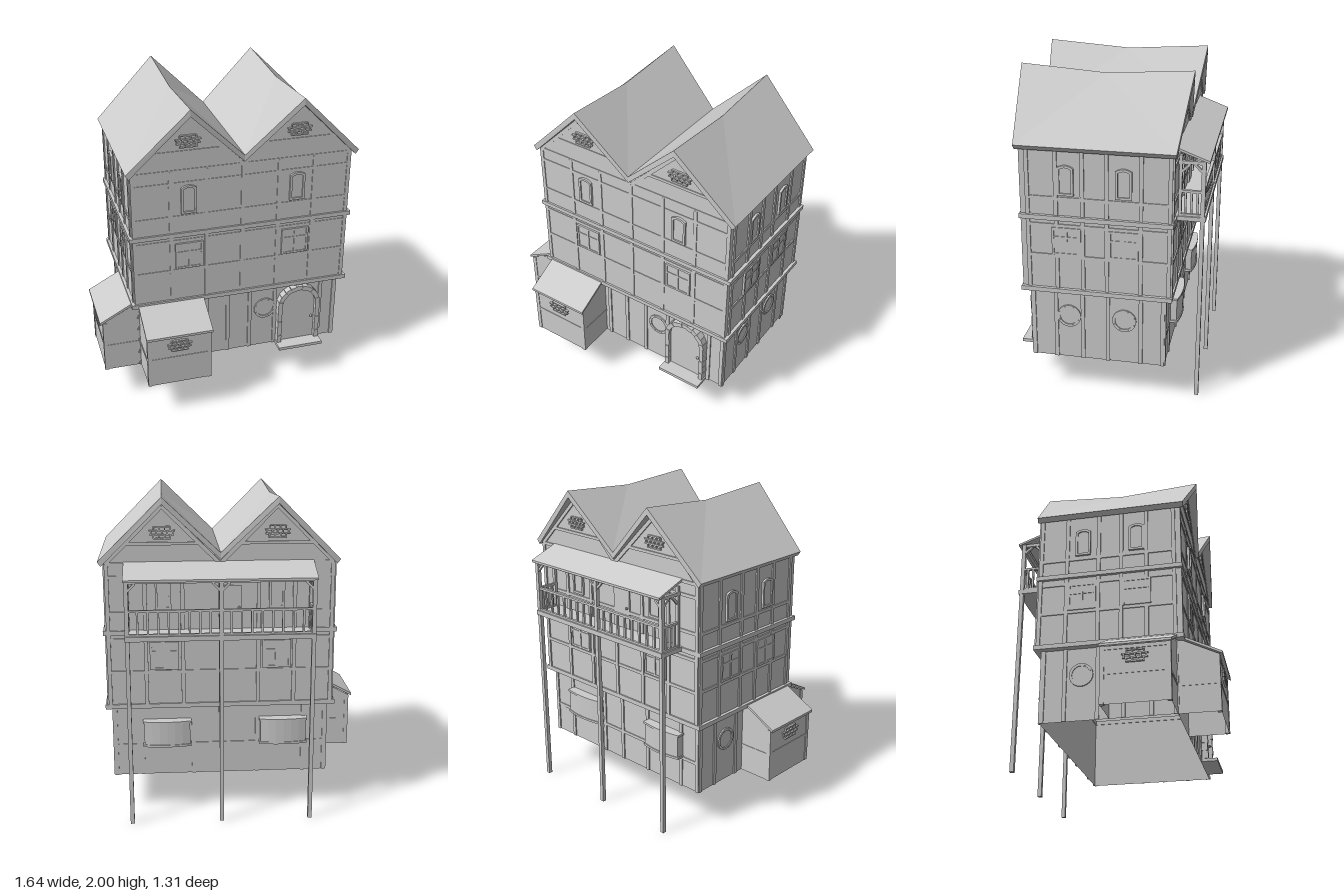
import * as THREE from 'three';

const mat = new THREE.MeshStandardMaterial({ color: 0xcccccc, flatShading: true });
const thin = new THREE.MeshStandardMaterial({ color: 0xcccccc, flatShading: true, side: THREE.DoubleSide });

function add(parent, name, geo, x = 0, y = 0, z = 0, material = mat) {
  const m = new THREE.Mesh(geo, material);
  m.name = name;
  m.position.set(x, y, z);
  parent.add(m);
  return m;
}
const box = (p, name, w, h, d, x, y, z) => add(p, name, new THREE.BoxGeometry(w, h, d), x, y, z);
const poly = pts => new THREE.Shape(pts.map(([x, y]) => new THREE.Vector2(x, y)));
const extrude = (s, depth, curveSegments = 6) => new THREE.ExtrudeGeometry(s, { depth, bevelEnabled: false, curveSegments });

function group(parent, name) {
  const g = new THREE.Group();
  g.name = name;
  parent.add(g);
  return g;
}

// Wall frame: local x runs along the wall, local z points outwards
function face(parent, name, angle, offset) {
  const g = group(parent, name);
  g.rotation.y = angle;
  g.position.set(Math.sin(angle) * offset, 0, Math.cos(angle) * offset);
  return g;
}

// Four walls without floor or ceiling
function walls(p, name, x0, x1, y0, y1, z0, z1) {
  const geo = new THREE.CylinderGeometry(Math.SQRT1_2, Math.SQRT1_2, 1, 4, 1, true).rotateY(Math.PI / 4);
  geo.scale(x1 - x0, y1 - y0, z1 - z0);
  add(p, name, geo, (x0 + x1) / 2, (y0 + y1) / 2, (z0 + z1) / 2, thin);
}

// Beam frame running round the house
function beamRing(p, name, x0, x1, z0, z1, y, h, t) {
  const cx = (x0 + x1) / 2, cz = (z0 + z1) / 2;
  for (const z of [z0 + t / 2, z1 - t / 2]) box(p, name, x1 - x0, h, t, cx, y, z);
  for (const x of [x0 + t / 2, x1 - t / 2]) box(p, name, t, h, z1 - z0 - 2 * t, x, y, cz);
}

// Timber grid on one wall
function timbers(f, us, y0, y1, rails = [], d = 0.008) {
  for (const u of us) box(f, 'timberPost', 0.024, y1 - y0, d, u, (y0 + y1) / 2, d / 2);
  const a = Math.min(...us), b = Math.max(...us);
  for (const y of rails) box(f, 'timberRail', b - a, 0.02, d * 0.8, (a + b) / 2, y, d * 0.4);
}

function archShape(w, h, rise) {
  const s = new THREE.Shape();
  s.moveTo(-w / 2, 0).lineTo(w / 2, 0).lineTo(w / 2, h - rise);
  s.quadraticCurveTo(0, h + rise, -w / 2, h - rise);
  return s;
}

function archedWindow(f, u, y = 1.322) {
  const s = archShape(0.096, 0.184, 0.016);
  s.holes.push(new THREE.Path(archShape(0.068, 0.156, 0.012).getPoints(6).map(p => p.add(new THREE.Vector2(0, 0.014)))));
  add(f, 'archedWindowFrame', extrude(s, 0.014), u, y, 0);
  add(f, 'archedWindowPane', new THREE.ShapeGeometry(archShape(0.076, 0.17, 0.014)), u, y + 0.007, 0.006);
}

function crossWindow(f, u, y = 1.033) {
  box(f, 'windowPane', 0.17, 0.17, 0.008, u, y, 0.004);
  for (const k of [-0.081, 0, 0.081]) box(f, 'windowUpright', 0.013, 0.175, 0.013, u + k, y, 0.0065);
  for (const k of [-0.081, 0.025, 0.081]) box(f, 'windowBar', 0.175, 0.013, 0.012, u, y + k, 0.006);
}

// Porthole with flat ring and rivets
function roundWindow(f, u, y = 0.528) {
  const ring = new THREE.Shape().absarc(0, 0, 0.073, 0, Math.PI * 2);
  ring.holes.push(new THREE.Path().absarc(0, 0, 0.056, 0, Math.PI * 2));
  add(f, 'roundWindowRing', extrude(ring, 0.009, 12), u, y);
  add(f, 'roundWindowPane', new THREE.CircleGeometry(0.06, 24), u, y, 0.003);
  for (let i = 0; i < 8; i++) {
    const a = (i + 0.5) * Math.PI / 4;
    box(f, 'rivet', 0.006, 0.006, 0.004, u + Math.cos(a) * 0.064, y + Math.sin(a) * 0.064, 0.01);
  }
}

// Small lattice window: staggered short uprights between bars of uneven length
function lattice(f, u, y, z = 0) {
  [[0.09, 0.036], [0.155, 0.012], [0.145, -0.012], [0.105, -0.034]].forEach(([w, dy], i) => {
    box(f, 'latticeBar', w, 0.008, 0.012, u, y + dy, z + 0.006);
    const n = 4 + (i % 2), span = i === 1 ? 0.13 : 0.1;
    if (i < 3) for (let k = 0; k < n; k++)
      box(f, 'latticeUpright', 0.008, 0.024, 0.01, u + (k / (n - 1) - 0.5) * span, y + dy - 0.012, z + 0.005);
  });
}

// Sloping slab: near and far ends given as [distance from wall, top height]
function slab(p, name, w, u, [d0, y0], [d1, y1], t = 0.016) {
  const geo = extrude(poly([[d0, y0], [d1, y1], [d1, y1 - t], [d0, y0 - t]]), w);
  add(p, name, geo.translate(0, 0, -w / 2).rotateY(-Math.PI / 2), u);
}

// Lean-to with three walls, corner posts, sloping roof and lattice window
function leanTo(f, u, w, d) {
  const g = group(f, 'leanTo');
  add(g, 'leanToFront', new THREE.PlaneGeometry(w, 0.352), u, 0.419, d, thin);
  for (const s of [1, -1]) {
    const side = poly([[0, 0.243], [-s * d, 0.243], [-s * d, 0.595], [0, 0.715]]);
    add(g, 'leanToSide', new THREE.ShapeGeometry(side).rotateY(s * Math.PI / 2), u + s * w / 2, 0, 0, thin);
    box(g, 'leanToPost', 0.026, 0.352, 0.026, u + s * (w / 2 - 0.009), 0.419, d - 0.009);
    box(g, 'leanToRail', 0.006, 0.018, d, u + s * w / 2, 0.42, d / 2);
  }
  box(g, 'leanToLintel', w, 0.02, 0.008, u, 0.58, d);
  box(g, 'leanToSill', w, 0.018, 0.006, u, 0.43, d);
  lattice(g, u, 0.522, d);
  slab(g, 'leanToRoof', w + 0.02, u, [0.018, 0.73], [d + 0.022, 0.606]);
}

// Double gable roof lofted through three sections, with a sagging ridge
function roofGeometry() {
  const top = [[-0.63, 1.618], [-0.25, 2], [0.09, 1.665], [0.435, 2], [0.818, 1.618]];
  const low = [[-0.61, 1.59], [-0.25, 1.957], [0.09, 1.625], [0.435, 1.957], [0.798, 1.59]];
  const ring = [...top, ...low.reverse()], n = ring.length, pos = [], idx = [];
  const isPeak = i => ring[i][1] > 1.9;
  for (const s of [1, 0, -1]) ring.forEach(([x, y], i) => {
    pos.push(x, y - (s === 0 && isPeak(i) ? 0.035 : 0), -0.0175 + s * (isPeak(i) ? 0.5125 : 0.4675));
  });
  for (let r = 0; r < 2; r++) for (let i = 0; i < n; i++) {
    const a = r * n + i, b = r * n + (i + 1) % n;
    // Folds run from the middle of the ridge to the corners
    if (isPeak(i) === (r === 0)) idx.push(a, b, a + n, b, b + n, a + n);
    else idx.push(a, b, b + n, a, b + n, a + n);
  }
  for (let i = 0; i < 4; i++) {
    const a = i, b = i + 1, c = n - 2 - i, d = n - 1 - i, e = 2 * n;
    idx.push(a, d, c, a, c, b, e + a, e + c, e + d, e + a, e + b, e + c);
  }
  const geo = new THREE.BufferGeometry();
  geo.setAttribute('position', new THREE.Float32BufferAttribute(pos, 3));
  geo.setIndex(idx.reverse());
  geo.setIndex(idx.reverse());
  geo.computeVertexNormals();
  return geo;
}

function door(f, u) {
  const g = group(f, 'frontDoor');
  const s = new THREE.Shape();
  s.moveTo(-0.12, 0.26).lineTo(0.12, 0.26).lineTo(0.12, 0.535).absarc(0, 0.535, 0.12, 0, Math.PI);
  add(g, 'doorPanel', extrude(s, 0.02, 12), u);
  for (let i = 0; i < 11; i++) {
    const a = (i + 0.5) * Math.PI / 11;
    box(g, 'archStone', 0.03, 0.039, 0.05 - (i % 2) * 0.006, u + Math.cos(a) * 0.13, 0.535 + Math.sin(a) * 0.13, 0.025).rotation.z = a;
  }
  for (const k of [-1, 1]) for (let i = 0; i < 5; i++)
    box(g, 'jambStone', 0.028, 0.052, 0.05 - (i % 2) * 0.006, u + k * 0.13, 0.292 + i * 0.054, 0.025);
  add(g, 'doorKnob', new THREE.SphereGeometry(0.01, 8, 6), u + 0.095, 0.425, 0.03);
  box(g, 'doorStep', 0.3, 0.02, 0.11, u, 0.253, 0.055);
}

// Shallow bow-fronted bay with a rim above and below
function bowBay(f, u) {
  const g = group(f, 'bowBay');
  const plan = (w, d) => {
    const s = new THREE.Shape();
    s.moveTo(-w, 0).lineTo(w, 0).lineTo(w, -d).quadraticCurveTo(0, -d - 0.036, -w, -d);
    return s;
  };
  const layer = (name, w, d, y, h) => add(g, name, extrude(plan(w, d), h).rotateX(-Math.PI / 2), u, y);
  layer('bayBody', 0.142, 0.046, 0.45, 0.15);
  for (const y of [0.445, 0.597]) layer('bayRim', 0.15, 0.051, y, 0.014);
}

function balcony(root) {
  const g = group(root, 'balcony'), posts = [-0.455, 0.095, 0.65];
  box(g, 'balconyFloor', 1.135, 0.026, 0.17, 0.097, 1.183, -0.55);
  box(g, 'balconyEdgeBeam', 1.135, 0.03, 0.02, 0.097, 1.185, -0.632);
  for (const x of posts) box(g, 'balconyPost', 0.025, 1.53, 0.025, x, 0.765, -0.622);
  box(g, 'headerBeam', 1.12, 0.02, 0.022, 0.097, 1.525, -0.622);
  const brace = (x, z, ry, k) => {
    const h = group(g, 'brace');
    h.position.set(x, 1.49, z);
    h.rotation.y = ry;
    box(h, 'braceBar', 0.07, 0.014, 0.016, k * 0.027, 0, 0).rotation.z = k * Math.PI / 4;
  };
  posts.forEach((x, i) => {
    if (i < 2) brace(x, -0.622, 0, 1);
    if (i > 0) brace(x, -0.622, 0, -1);
  });
  // Railings
  for (const y of [1.205, 1.35]) box(g, 'railing', 1.1, 0.014, 0.018, 0.097, y, -0.622);
  for (let i = 1; i < 18; i++) if (i !== 9) box(g, 'baluster', 0.013, 0.14, 0.013, -0.455 + i * 1.105 / 18, 1.28, -0.622);
  for (const x of [posts[0], posts[2]]) {
    box(g, 'wallPost', 0.022, 0.38, 0.018, x, 1.38, -0.49);
    box(g, 'sideBeam', 0.02, 0.02, 0.15, x, 1.525, -0.55);
    brace(x, -0.49, Math.PI / 2, 1);
    brace(x, -0.622, Math.PI / 2, -1);
    for (const y of [1.205, 1.35]) box(g, 'sideRailing', 0.018, 0.014, 0.14, x, y, -0.553);
    for (const z of [-0.52, -0.555, -0.59]) box(g, 'sideBaluster', 0.013, 0.14, 0.013, x, 1.28, z);
  }
  const f = face(g, 'balconyRoofFrame', Math.PI, 0.465);
  slab(f, 'balconyRoof', 1.137, -0.098, [0, 1.613], [0.192, 1.541], 0.014);
}

export function createModel() {
  const root = new THREE.Group();
  root.name = 'timberHouse';
  // Storeys and beam rings
  walls(root, 'groundFloorWalls', -0.575, 0.755, 0.243, 0.71, -0.43, 0.385);
  walls(root, 'middleFloorWalls', -0.6, 0.78, 0.71, 1.18, -0.465, 0.425);
  walls(root, 'upperFloorWalls', -0.6, 0.78, 1.18, 1.605, -0.465, 0.425);
  for (const y of [0.712, 1.18]) beamRing(root, 'floorBeam', -0.62, 0.8, -0.475, 0.437, y, 0.028, 0.05);
  const gable = poly([[-0.6, 1.605], [0.78, 1.605], [0.435, 1.957], [0.09, 1.625], [-0.25, 1.957]]);
  add(root, 'frontGables', new THREE.ShapeGeometry(gable), 0, 0, 0.425, thin);
  add(root, 'backGables', new THREE.ShapeGeometry(gable), 0, 0, -0.465, thin);
  add(root, 'roof', roofGeometry());

  // Front
  const low = face(root, 'groundFront', 0, 0.385), high = face(root, 'upperFront', 0, 0.425);
  timbers(low, [-0.565, -0.13, 0.012, 0.162, 0.335, 0.65, 0.745], 0.243, 0.7);
  roundWindow(low, 0.265);
  door(low, 0.49);
  leanTo(low, -0.37, 0.4, 0.245);
  // Back
  const backLow = face(root, 'groundBack', Math.PI, 0.43), backHigh = face(root, 'upperBack', Math.PI, 0.465);
  timbers(backLow, [-0.745, -0.58, -0.26, -0.09, 0.14, 0.43, 0.565], 0.243, 0.7, [0.44]);
  for (const u of [-0.425, 0.3]) bowBay(backLow, u);
  box(backHigh, 'balconyDoor', 0.13, 0.27, 0.01, -0.03, 1.33, 0.005);
  add(backHigh, 'balconyDoorKnob', new THREE.SphereGeometry(0.009, 8, 6), 0.02, 1.33, 0.018);
  balcony(root);

  // Timbers and windows shared by the front and back upper storeys
  for (const [f, s, d] of [[high, 1, 0.005], [backHigh, -1, 0.009]]) {
    const us = [-0.588, -0.36, -0.14, 0.09, 0.32, 0.545, 0.768].map(x => x * s);
    timbers(f, us, 0.726, 1.166, [0.93, 1.135], d);
    timbers(f, us, 1.194, 1.6, [1.3, 1.52, 1.6], d);
    for (const x of [-0.25, 0.435]) {
      archedWindow(f, x * s);
      crossWindow(f, x * s);
      lattice(f, x * s, 1.785);
      box(f, 'gableTie', 0.46, 0.018, d, x * s, 1.72, d / 2);
      for (const k of [-1, 1])
        box(f, 'gableRafter', 0.48, 0.024, d, x * s + k * 0.17, 1.77, d / 2).rotation.z = -k * Math.PI / 4;
    }
  }

  // Both sides; u is measured along -z on the +x wall
  for (const s of [1, -1]) {
    const a = s * Math.PI / 2;
    const g = face(root, 'groundSide', a, s > 0 ? 0.755 : 0.575), f = face(root, 'upperSide', a, s > 0 ? 0.78 : 0.6);
    timbers(g, [0.375, 0.235, 0.07, -0.085, -0.285, -0.418].map(z => -z * s), 0.243, 0.7);
    const us = [0.385, 0.215, 0.058, -0.085, -0.285, -0.452].map(z => -z * s);
    timbers(f, us, 0.726, 1.166, [0.935, 1.13]);
    timbers(f, us, 1.194, 1.6, [1.3]);
    for (const z of [0.155, -0.185]) {
      archedWindow(f, -z * s);
      crossWindow(f, -z * s);
      if (s > 0 || z < 0) roundWindow(g, -z * s);
    }
    if (s < 0) leanTo(g, 0.185, 0.4, 0.225);
  }
  return root;
}
